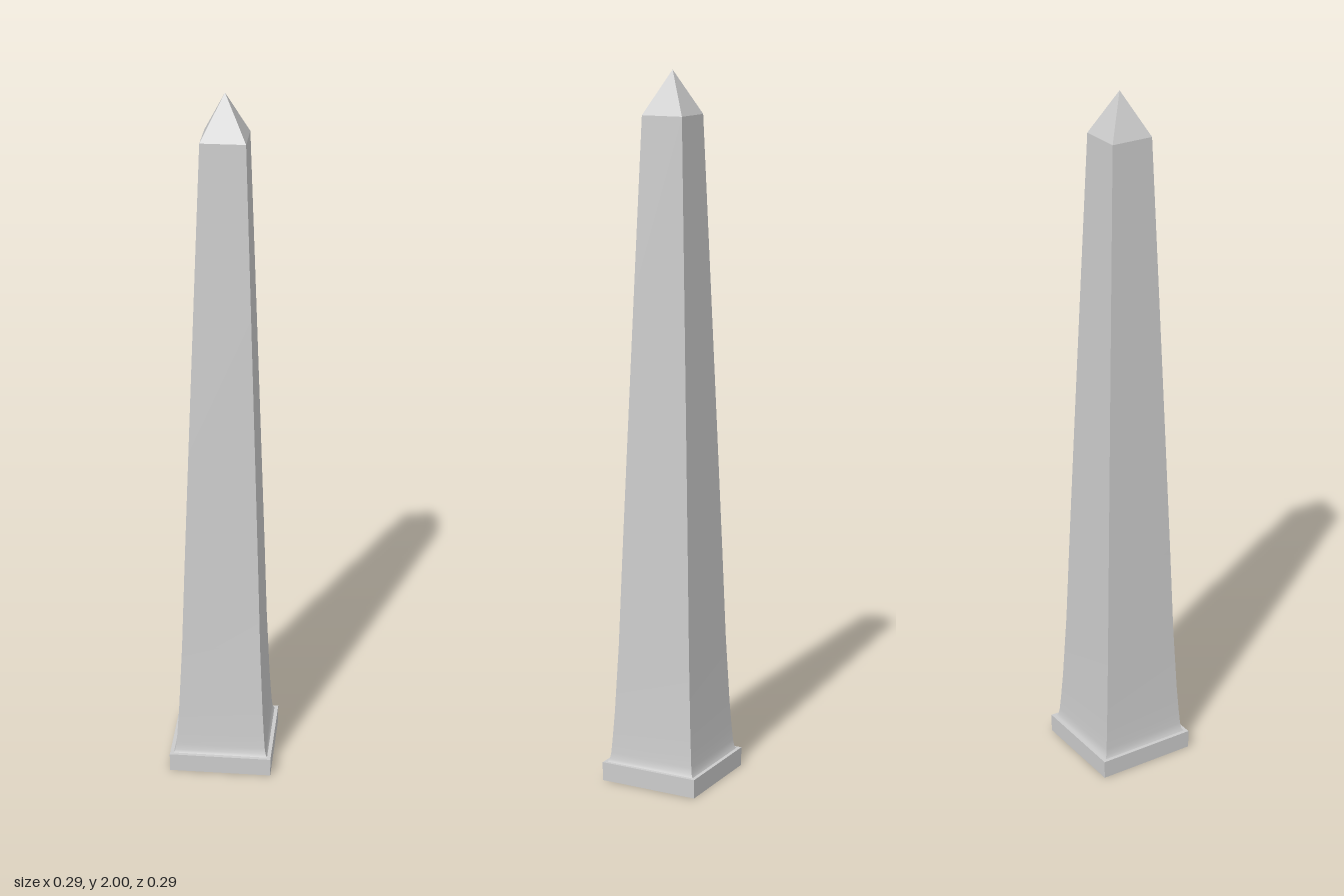
import * as THREE from 'three';

const material = new THREE.MeshStandardMaterial({ color: 0xcccccc });

// Square loft from [halfWidth, y] points: each side is smooth along its height, with sharp corners.
function squareLoft(profile) {
  const positions = [];
  const indices = [];
  for (let side = 0; side < 4; side++) {
    const start = positions.length / 3;
    const cos = Math.round(Math.cos(side * Math.PI / 2));
    const sin = Math.round(Math.sin(side * Math.PI / 2));
    for (const [r, y] of profile) {
      for (const x of [-r, r]) positions.push(x * cos + r * sin, y, r * cos - x * sin);
    }
    for (let i = 0; i < profile.length - 1; i++) {
      const a = start + i * 2;
      indices.push(a, a + 1, a + 3, a, a + 3, a + 2);
    }
  }
  const geometry = new THREE.BufferGeometry();
  geometry.setAttribute('position', new THREE.Float32BufferAttribute(positions, 3));
  geometry.setIndex(indices);
  geometry.computeVertexNormals();
  return geometry;
}

export function createModel() {
  const group = new THREE.Group();
  const add = (name, geometry) => {
    const mesh = new THREE.Mesh(geometry, material);
    mesh.name = name;
    group.add(mesh);
    return mesh;
  };

  // Square plinth
  add('plinth', new THREE.BoxGeometry(0.294, 0.054, 0.294)).position.y = 0.027;

  // Tapering shaft with a small flare at its foot
  add('shaft', squareLoft([
    [0.137, 0.053], [0.132, 0.062], [0.129, 0.08], [0.126, 0.12], [0.121, 0.2], [0.112, 0.4],
    [0.104, 0.65], [0.092, 1.0], [0.078, 1.4], [0.061, 1.88],
  ]));

  // Pyramid capstone, flat shaded
  const cap = squareLoft([[0.061, 1.88], [0, 2]]).toNonIndexed();
  cap.computeVertexNormals();
  add('capstone', cap);

  return group;
}
